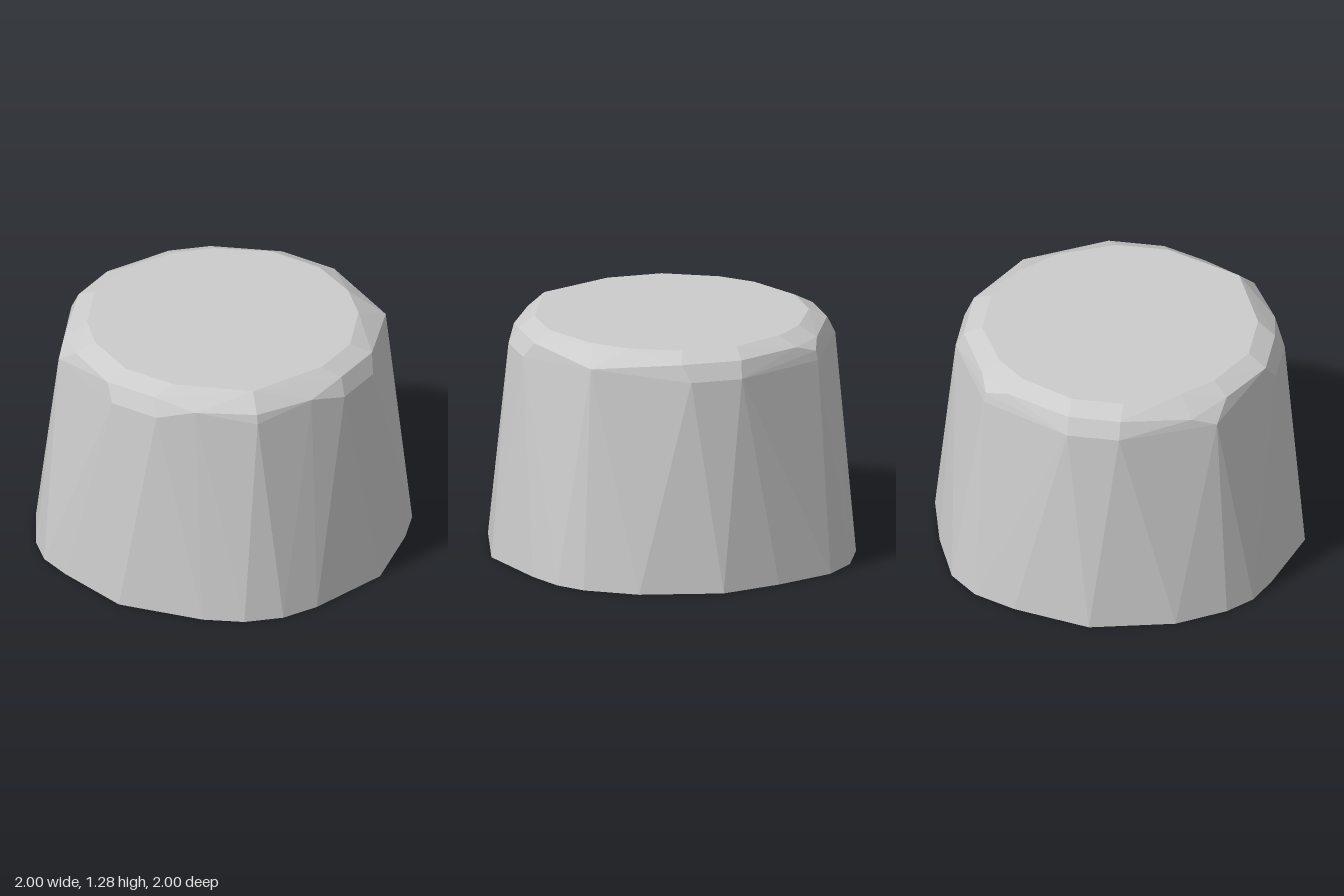
import * as THREE from 'three';
import { ConvexGeometry } from 'three/addons/geometries/ConvexGeometry.js';

// Horizontal outlines of the faceted stub, each as [x, z] corners at height y
const rings = [
  { y: 0, pts: [[0, -1], [0.44, -0.9], [0.7, -0.74], [0.81, -0.61], [0.89, -0.42], [1, 0], [0.89, 0.45],
    [0.8, 0.64], [0.65, 0.79], [0.45, 0.89], [-0.01, 1], [-0.42, 0.89], [-0.6, 0.82], [-0.73, 0.7],
    [-0.89, 0.45], [-1, 0], [-0.9, -0.42], [-0.8, -0.65], [-0.65, -0.8], [-0.33, -0.92]] },
  // shoulder below the rim
  { y: 1.14, pts: [[-0.14, -0.865], [0.14, -0.865], [0.64, -0.62], [0.865, -0.14], [0.865, 0.14], [0.63, 0.63],
    [0.14, 0.865], [-0.14, 0.865], [-0.63, 0.63], [-0.865, 0.14], [-0.865, -0.14], [-0.63, -0.63]] },
  // outer corners of the bevel
  { y: 1.19, pts: [[0.78, 0.33], [0.33, 0.78], [0.62, 0.62], [-0.68, 0.5], [-0.62, -0.62], [0.63, -0.63]] },
  { y: 1.23, pts: [[-0.15, -0.82], [0.18, -0.82], [0.82, -0.2], [0.82, 0.1], [0.1, 0.82], [-0.2, 0.82],
    [-0.5, 0.66], [-0.82, 0.14], [-0.82, -0.14], [-0.66, -0.5], [-0.5, -0.66]] },
  // flat top
  { y: 1.28, pts: [[-0.15, -0.72], [0.15, -0.72], [0.41, -0.6], [0.58, -0.44], [0.72, -0.14], [0.72, 0.14],
    [0.55, 0.55], [0.43, 0.58], [0.15, 0.72], [-0.15, 0.72], [-0.43, 0.58], [-0.58, 0.43], [-0.72, 0.14],
    [-0.72, -0.14], [-0.58, -0.43], [-0.43, -0.58]] },
];

export function createModel() {
  const group = new THREE.Group();
  group.name = 'taperedStub';

  // Solid body wrapped around all outlines
  const points = rings.flatMap(({ y, pts }) => pts.map(([x, z]) => new THREE.Vector3(x, y, z)));
  const material = new THREE.MeshStandardMaterial({ color: 0xcccccc, flatShading: true });
  const body = new THREE.Mesh(new ConvexGeometry(points), material);
  body.name = 'facetedBody';
  group.add(body);
  return group;
}
